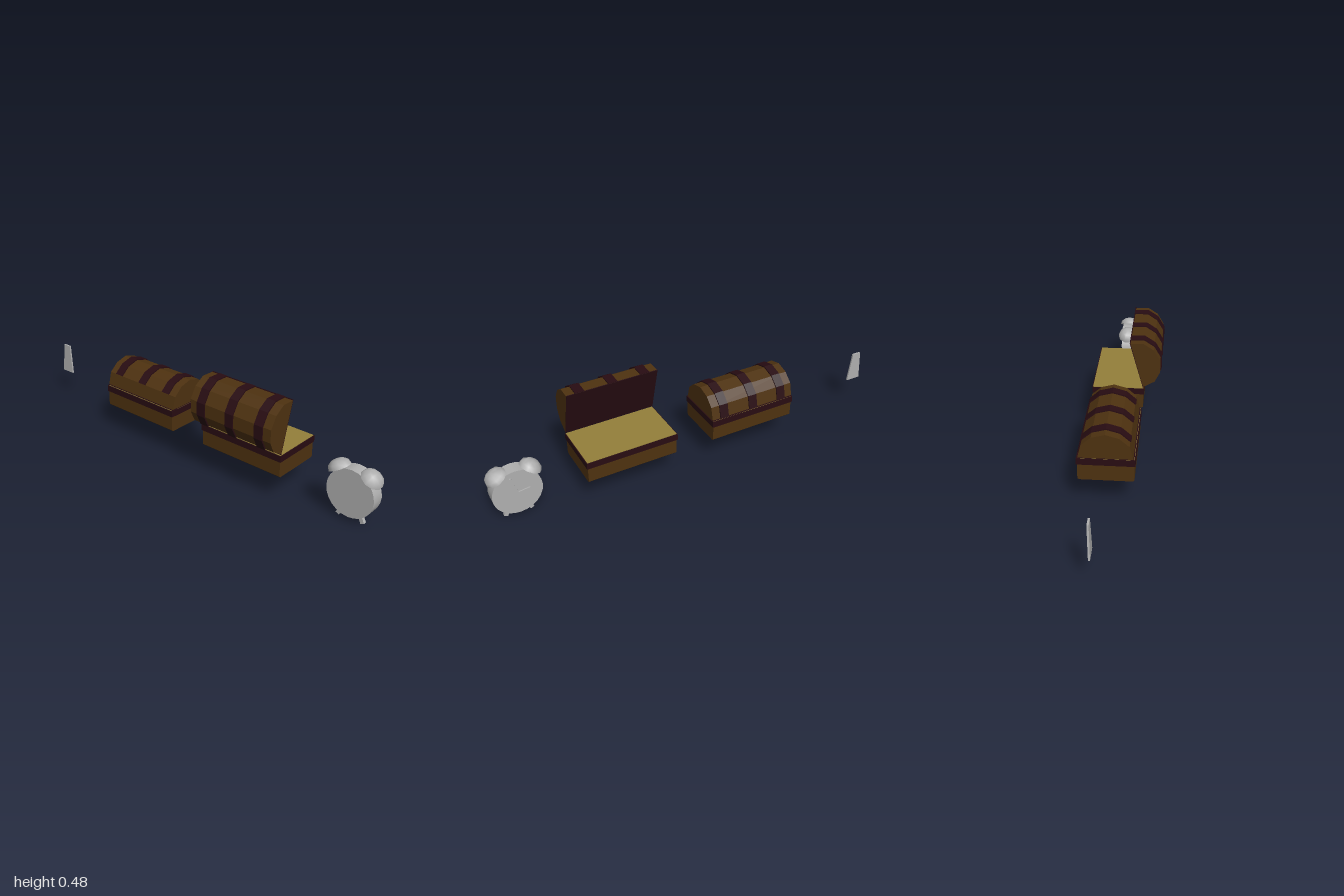
import * as THREE from 'three';
import { toCreasedNormals } from 'three/addons/utils/BufferGeometryUtils.js';

const mat = (name, color) => {
  const m = new THREE.MeshStandardMaterial({ color });
  m.name = name;
  return m;
};

export function createModel() {
  const wood = mat('brown wood', 0x4e3210);
  const dark = mat('dark trim', 0x280c12);
  const gold = mat('gold', 0x94803a);
  const grey = mat('grey metal', 0xb0b0b0);

  const add = (parent, name, geometry, material, x = 0, y = 0, z = 0) => {
    const mesh = new THREE.Mesh(geometry, material);
    mesh.name = name;
    mesh.position.set(x, y, z);
    parent.add(mesh);
    return mesh;
  };
  const group = (parent, name, x = 0, y = 0, z = 0) => {
    const g = new THREE.Group();
    g.name = name;
    g.position.set(x, y, z);
    parent.add(g);
    return g;
  };
  const box = (w, h, d) => new THREE.BoxGeometry(w, h, d);

  // Extrudes a side profile of [depth towards -z, height] along x, centred
  const sideExtrude = (points, width) => {
    const shape = new THREE.Shape(points.map(([d, h]) => new THREE.Vector2(d, h)));
    return new THREE.ExtrudeGeometry(shape, { depth: width, bevelEnabled: false })
      .translate(0, 0, -width / 2).rotateY(Math.PI / 2);
  };

  const model = new THREE.Group();
  model.name = 'treasureSet';

  // Lid outlines measured from the hinge; straps sit just outside the wood
  const outer = [[0, 0], [0.017, 0.065], [0.062, 0.105], [0.123, 0.122],
    [0.185, 0.105], [0.23, 0.065], [0.246, 0]];
  const inner = outer.map(([d, h]) => [0.123 + (d - 0.123) * 0.955, h * 0.95]);

  const addChest = (name, x, lidAngle) => {
    const chest = group(model, name, x);
    // Box with chamfered lower edges
    add(chest, 'base', sideExtrude([[0, 0.108], [0, 0.006], [0.006, 0],
      [0.236, 0], [0.242, 0.006], [0.242, 0.108]], 0.429), wood, 0, 0.135, 0.082);
    add(chest, 'rimBand', box(0.437, 0.03, 0.25), dark, 0, 0.227, -0.039);
    add(chest, 'goldFilling', box(0.43, 0.004, 0.243), gold, 0, 0.2425, -0.039);

    const lid = group(chest, 'lid', 0, 0.246, 0.083);
    lid.rotation.x = lidAngle;
    add(lid, 'lidWood', sideExtrude(inner, 0.433), wood);
    add(lid, 'lidUnderside', box(0.433, 0.003, 0.242), dark, 0, -0.0005, -0.123);
    // Straps stop one facet short of the hinge
    const strap = sideExtrude([...outer.slice(1), ...inner.slice(1).reverse()], 0.043);
    for (const sx of [-0.155, 0, 0.155]) add(lid, 'lidStrap', strap, dark, sx);
  };
  addChest('closedChest', -0.246, 0);
  addChest('openChest', 0.374, 1.302);

  // Alarm clock, its dial facing -z
  const clock = group(model, 'alarmClock', 0.877, 0.137, -0.0385);
  add(clock, 'clockBody', new THREE.CylinderGeometry(0.112, 0.112, 0.063, 24).rotateX(Math.PI / 2), grey);
  const bellProfile = [[0, 0], [0.052, 0], [0.052, 0], [0.045, 0.019], [0.026, 0.033], [0, 0.038]]
    .map(([r, h]) => new THREE.Vector2(r, h));
  const bellGeometry = toCreasedNormals(new THREE.LatheGeometry(bellProfile, 10), 1);
  for (const side of [-1, 1]) {
    const bell = add(clock, 'bell', bellGeometry, grey, side * 0.075, 0.085, 0);
    bell.rotation.z = -side * 0.51;
    const foot = add(clock, 'foot', box(0.018, 0.05, 0.016), grey, side * 0.05, -0.109, 0.002);
    foot.rotation.z = side * 0.43;
  }
  const addHand = (name, length, angle) => {
    const hand = add(clock, name, box(0.008, length, 0.006).translate(0, length / 2 - 0.004, 0), grey, 0, 0, -0.036);
    hand.rotation.z = angle;
  };
  addHand('longHand', 0.092, -0.3);
  addHand('shortHand', 0.06, 1.45);

  // Shield: a box whose rows follow the outline and whose columns bow towards -z
  const rows = [[0, 0.037], [0.03, 0.05], [0.063, 0.063], [0.085, 0.067], [0.102, 0.067],
    [0.118, 0.046], [0.13, 0.033], [0.151, 0.022]];
  const shield = box(2, rows.length - 1, 0.008, 8, rows.length - 1, 1);
  const p = shield.attributes.position;
  for (let i = 0; i < p.count; i++) {
    const [y, half] = rows[Math.round(p.getY(i) + (rows.length - 1) / 2)];
    const x = p.getX(i) * half;
    p.setXYZ(i, x, y, p.getZ(i) + 0.02 * (x / 0.067) ** 2);
  }
  add(model, 'shield', toCreasedNormals(shield, 0.7), grey, -0.933, 0.137, -0.057);

  return model;
}
